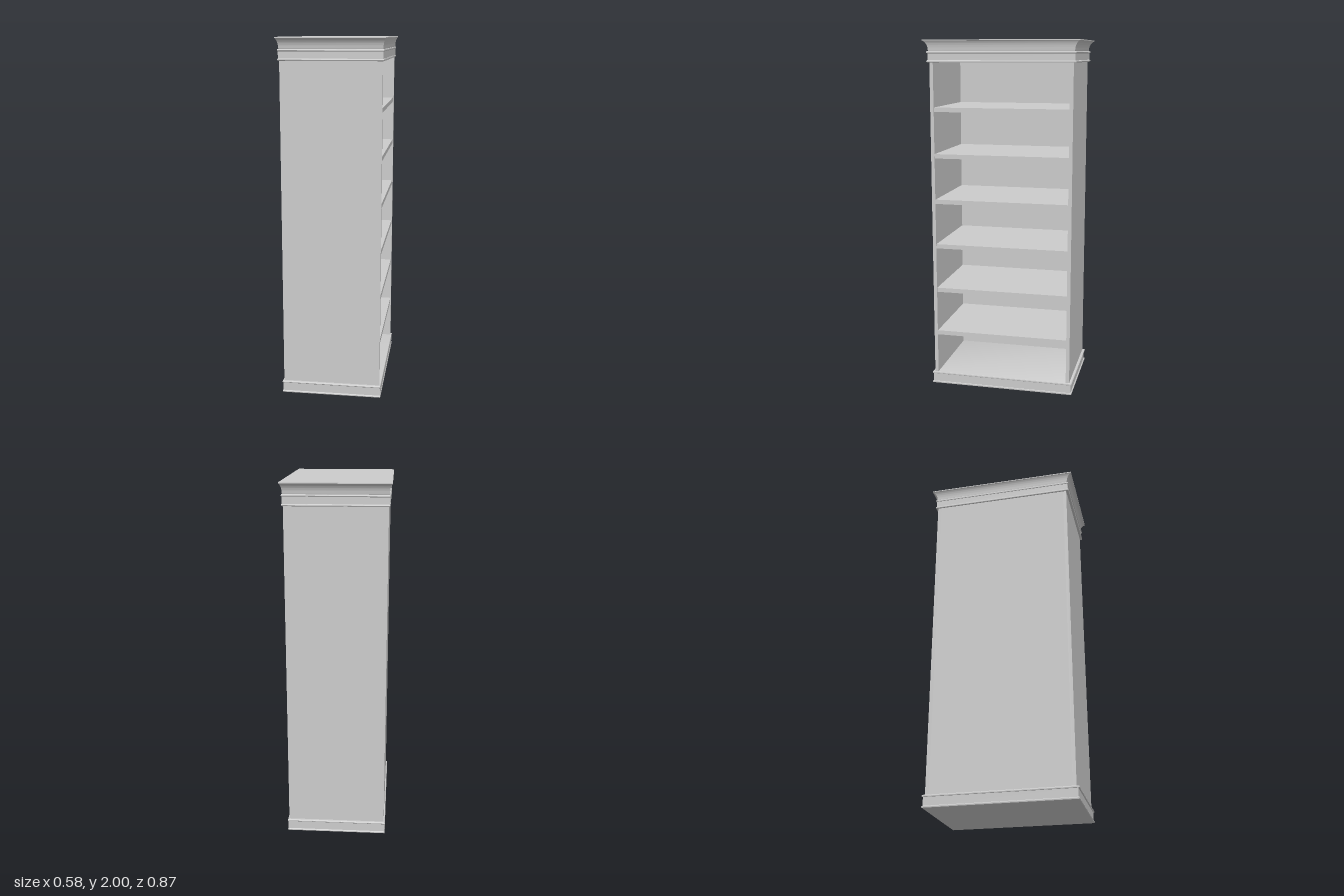
import * as THREE from 'three';
import { toCreasedNormals } from 'three/addons/utils/BufferGeometryUtils.js';

const HALF_X = 0.274, HALF_Z = 0.402, PANEL = 0.02;
const FLOOR = 0.07, CEILING = 1.877;

const material = new THREE.MeshStandardMaterial({ color: 0xcccccc });

function addBox(parent, name, x0, x1, y0, y1, z0, z1) {
  const mesh = new THREE.Mesh(new THREE.BoxGeometry(x1 - x0, y1 - y0, z1 - z0), material);
  mesh.position.set((x0 + x1) / 2, (y0 + y1) / 2, (z0 + z1) / 2);
  mesh.name = name;
  parent.add(mesh);
}

// Closed rectangular moulding: each profile point is [overhang, height], bottom to top.
// The overhang is narrower along x than along z.
function addMoulding(parent, name, profile) {
  const positions = [], index = [];
  const corners = [[1, 1], [1, -1], [-1, -1], [-1, 1]];
  for (const [out, y] of profile) {
    for (const [sx, sz] of corners) {
      positions.push(sx * (HALF_X + out * 0.5), y, sz * (HALF_Z + out));
    }
  }
  for (let i = 0; i < profile.length - 1; i++) {
    for (let j = 0; j < 4; j++) {
      const a = i * 4 + j, b = i * 4 + (j + 1) % 4;
      index.push(a, b, b + 4, a, b + 4, a + 4);
    }
  }
  const top = (profile.length - 1) * 4;
  index.push(0, 2, 1, 0, 3, 2, top, top + 1, top + 2, top, top + 2, top + 3);
  const geometry = new THREE.BufferGeometry();
  geometry.setAttribute('position', new THREE.Float32BufferAttribute(positions, 3));
  geometry.setIndex(index);
  const mesh = new THREE.Mesh(toCreasedNormals(geometry, 0.5), material);
  mesh.name = name;
  parent.add(mesh);
}

// Band with a rounded bead along its lower and upper edge
function beadedBand(y0, y1) {
  const bead = 0.012, points = [];
  for (const start of [y0, y1 - bead]) {
    for (let i = 0; i <= 6; i++) {
      const a = (i / 6) * Math.PI;
      points.push([0.009 + 0.006 * Math.sin(a), start + bead * (1 - Math.cos(a)) / 2]);
    }
  }
  return points;
}

export function createModel() {
  const group = new THREE.Group();
  group.name = 'bookcase';

  // Carcass, open towards +x
  for (const s of [-1, 1]) {
    const z = s * (HALF_Z - PANEL / 2);
    addBox(group, s > 0 ? 'frontSidePanel' : 'rearSidePanel',
      -HALF_X, HALF_X, FLOOR - 0.01, CEILING + 0.01, z - PANEL / 2, z + PANEL / 2);
  }
  const inner = HALF_Z - PANEL;
  addBox(group, 'backPanel', -HALF_X, -HALF_X + PANEL, FLOOR - 0.01, CEILING + 0.01, -inner, inner);

  // Shelves
  for (let i = 0; i < 6; i++) {
    const y = 0.325 + i * 0.261;
    addBox(group, 'shelf' + (i + 1), -HALF_X + PANEL, HALF_X - 0.004, y - 0.025, y, -inner, inner);
  }

  // Plinth and frieze
  addMoulding(group, 'plinth', beadedBand(0, FLOOR));
  addMoulding(group, 'frieze', beadedBand(CEILING, 1.938));

  // Crown with a concave flare
  const crown = [[0.004, 1.938]];
  for (let i = 0; i <= 10; i++) {
    const a = (i / 10) * 1.2;
    crown.push([0.006 + 0.029 * (1 - Math.cos(a)) / (1 - Math.cos(1.2)),
      1.942 + 0.053 * Math.sin(a) / Math.sin(1.2)]);
  }
  crown.push([0.035, 2]);
  addMoulding(group, 'crown', crown);

  return group;
}
